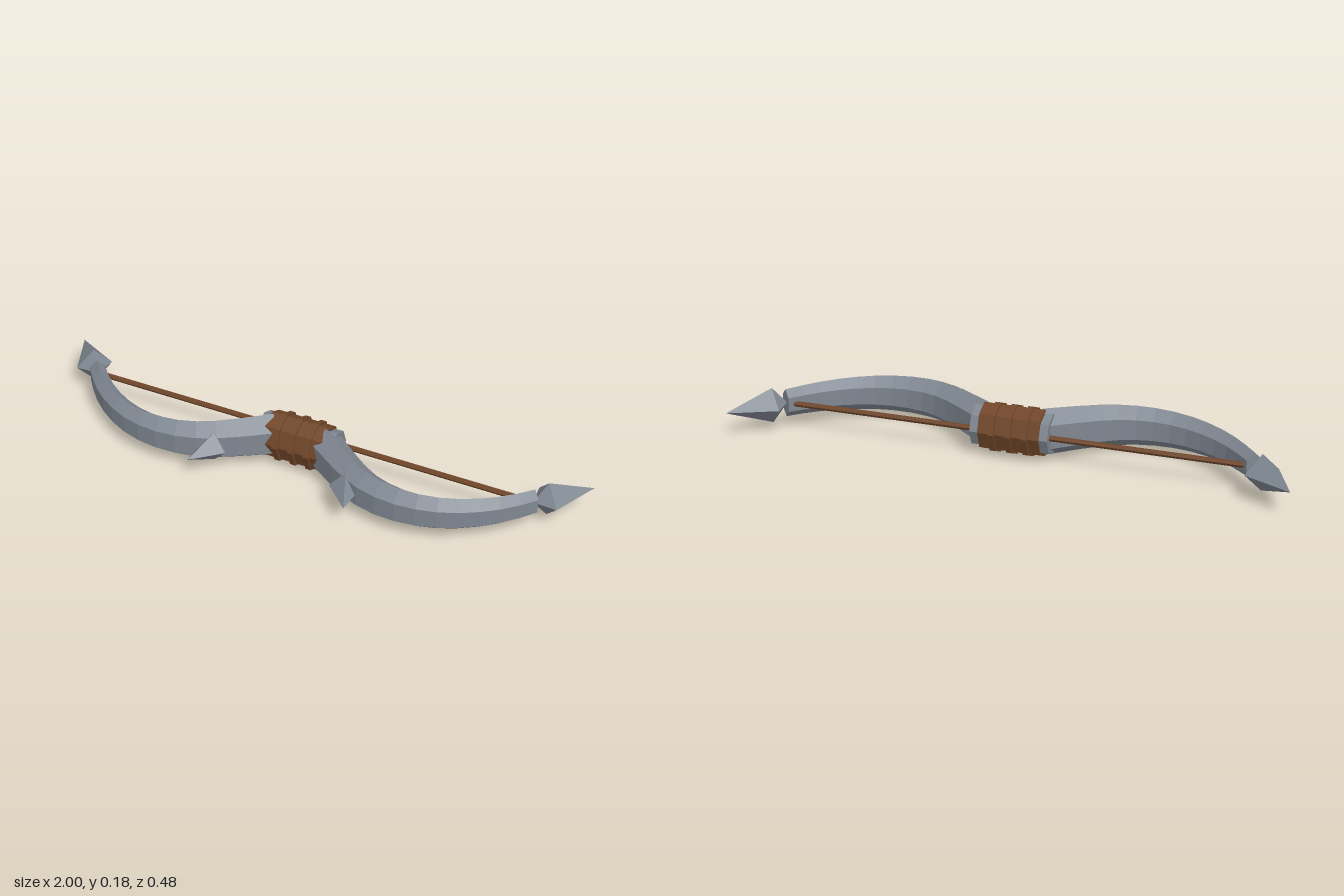
import * as THREE from 'three';

const CENTRE_Y = 0.0915, GRIP_Z = -0.0375;

function mesh(name, geometry, material) {
  const m = new THREE.Mesh(geometry, material);
  m.name = name;
  return m;
}

// Octagonal prism along x, with a corner pointing straight up
function octagonBar(name, length, ry, rz, x, material) {
  const g = new THREE.CylinderGeometry(1, 1, length, 8);
  g.rotateZ(Math.PI / 2).scale(1, ry, rz).translate(x, 0, GRIP_Z);
  return mesh(name, g, material);
}

// Four-sided spike with a short rear point; base centre and apex are [x, z]
function spike(name, base, apex, halfWidth, rear, material) {
  const dx = apex[0] - base[0], dz = apex[1] - base[1];
  const profile = [[0, -rear], [halfWidth, 0], [0, Math.hypot(dx, dz)]];
  const g = new THREE.LatheGeometry(profile.map(p => new THREE.Vector2(...p)), 4);
  g.rotateX(Math.PI / 2).rotateY(Math.atan2(dx, dz)).translate(base[0], 0, base[1]);
  return mesh(name, g, material);
}

// Tapered hexagonal sweep along the curved limb
function limbGeometry() {
  const curve = new THREE.CatmullRomCurve3([
    [0.1, -0.03], [0.17, 0.022], [0.27, 0.09], [0.36, 0.128], [0.47, 0.14],
    [0.58, 0.12], [0.68, 0.072], [0.77, 0.003], [0.845, -0.08],
  ].map(([x, z]) => new THREE.Vector3(x, 0, z)));
  const steps = 13, pos = [], index = [];
  for (let i = 0; i <= steps; i++) {
    const u = i / steps, c = curve.getPointAt(u), t = curve.getTangentAt(u);
    const thick = THREE.MathUtils.lerp(0.056, 0.027, u) / Math.cos(Math.PI / 6);
    const high = THREE.MathUtils.lerp(0.086, 0.051, u);
    for (let k = 0; k < 6; k++) {
      const a = Math.PI / 6 + k * Math.PI / 3, d = thick * Math.cos(a);
      pos.push(c.x - t.z * d, high * Math.sin(a), c.z + t.x * d);
    }
  }
  for (let i = 0; i < steps; i++) {
    for (let k = 0; k < 6; k++) {
      const a = i * 6 + k, d = i * 6 + (k + 1) % 6;
      index.push(a, a + 6, d + 6, a, d + 6, d);
    }
  }
  // End caps
  const e = steps * 6;
  for (let k = 1; k < 5; k++) index.push(0, k, k + 1, e, e + k + 1, e + k);
  const g = new THREE.BufferGeometry();
  g.setAttribute('position', new THREE.Float32BufferAttribute(pos, 3));
  g.setIndex(index);
  g.computeVertexNormals();
  return g;
}

export function createModel() {
  const steel = new THREE.MeshStandardMaterial({ color: 0x7f8791, flatShading: true });
  steel.name = 'steel grey';
  const leather = new THREE.MeshStandardMaterial({ color: 0x704629, flatShading: true });
  leather.name = 'leather brown';

  const model = new THREE.Group();
  model.name = 'bow';
  const body = new THREE.Group();
  body.name = 'bowBody';
  body.position.y = CENTRE_Y;
  model.add(body);

  // Riser, leather wrap and its raised bands
  body.add(octagonBar('riser', 0.28, 0.074, 0.072, 0, steel));
  body.add(octagonBar('gripWrap', 0.22, 0.086, 0.076, 0, leather));
  for (const x of [-0.06, 0, 0.06]) {
    body.add(octagonBar('gripBand', 0.02, 0.0915, 0.086, x, leather));
  }

  // Bowstring
  const string = new THREE.CylinderGeometry(0.01, 0.01, 1.66, 6);
  string.rotateZ(Math.PI / 2).translate(0, 0, -0.076);
  body.add(mesh('bowstring', string, leather));

  // Two limbs: the second is the first turned half round the z axis
  for (const side of ['left', 'right']) {
    const half = new THREE.Group();
    half.name = side + 'Limb';
    half.rotation.z = side === 'left' ? 0 : Math.PI;
    half.add(mesh('limb', limbGeometry(), steel));
    half.add(spike('limbTip', [0.88, -0.115], [1, -0.24], 0.065, 0.055, steel));
    half.add(spike('limbSpike', [0.25, 0.124], [0.295, 0.237], 0.056, 0.04, steel));
    body.add(half);
  }
  return model;
}
